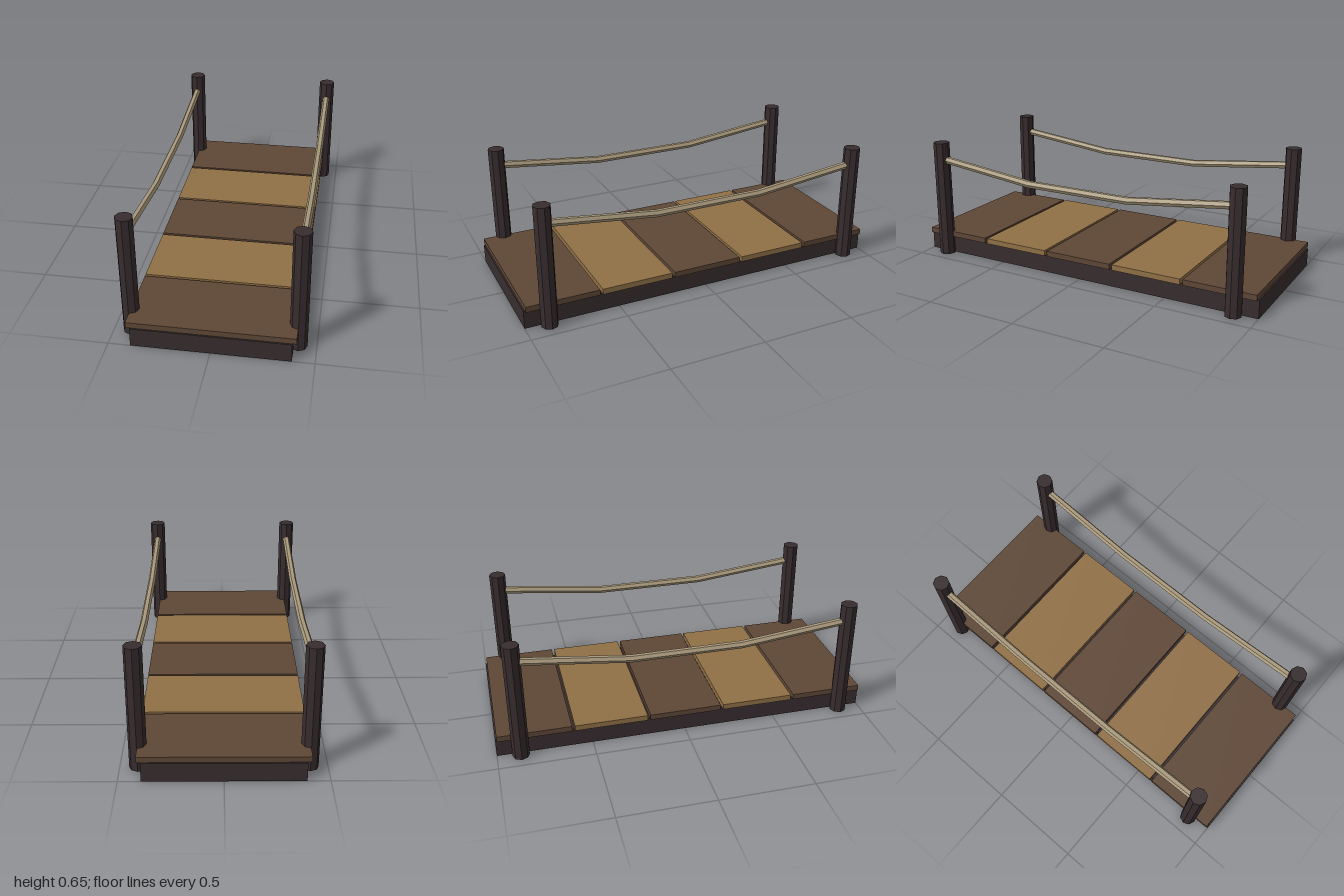
import * as THREE from 'three';

const flat = (name, color) => {
  const m = new THREE.MeshStandardMaterial({ color });
  m.name = name;
  m.flatShading = true;
  return m;
};

export function createModel() {
  const group = new THREE.Group();
  group.name = 'footbridge';

  const darkWood = flat('darkWood', 0x382d2f);
  const brownWood = flat('brownWood', 0x5e4736);
  const tanWood = flat('tanWood', 0x907046);
  const ropeFibre = flat('ropeFibre', 0xaa9a7c);

  const add = (name, geometry, material, x, y, z) => {
    const mesh = new THREE.Mesh(geometry, material);
    mesh.name = name;
    mesh.position.set(x, y, z);
    group.add(mesh);
  };

  // Solid beam under the deck
  add('base', new THREE.BoxGeometry(0.78, 0.1, 2), darkWood, 0, 0.05, 0);

  // Deck planks in alternating colours, with narrow gaps
  const plank = new THREE.BoxGeometry(0.82, 0.03, 0.385);
  for (let i = 0; i < 5; i++) {
    add(`plank${i + 1}`, plank, i % 2 ? tanWood : brownWood, 0, 0.115, -0.8 + i * 0.4);
  }

  // Octagonal corner posts and a sagging rope along each side
  const post = new THREE.CylinderGeometry(0.044, 0.044, 0.65, 8);
  const sag = new THREE.QuadraticBezierCurve3(
    new THREE.Vector3(0, 0.556, 0.878),
    new THREE.Vector3(0, 0.407, 0),
    new THREE.Vector3(0, 0.556, -0.878)
  );
  const rope = new THREE.TubeGeometry(sag, 3, 0.02, 6);
  for (const [side, x] of [['left', 0.411], ['right', -0.411]]) {
    add(`${side}FrontPost`, post, darkWood, x, 0.325, 0.878);
    add(`${side}BackPost`, post, darkWood, x, 0.325, -0.878);
    add(`${side}Rope`, rope, ropeFibre, x, 0, 0);
  }

  return group;
}
